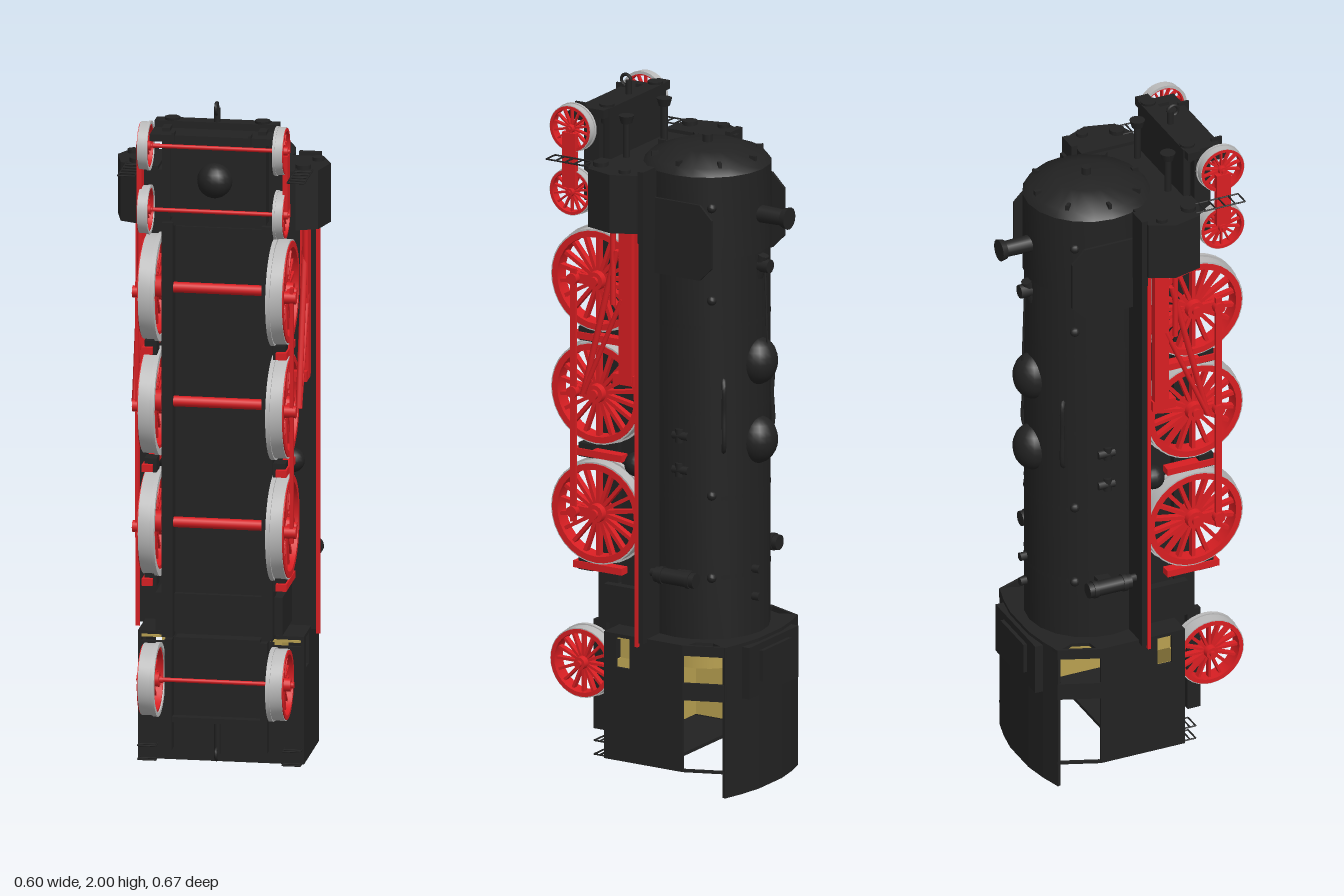
import * as THREE from 'three';
import { toCreasedNormals } from 'three/addons/utils/BufferGeometryUtils.js';

const mat = (name, color) => { const m = new THREE.MeshStandardMaterial({ color }); m.name = name; return m; };

export function createModel() {
  const black = mat('black paint', 0x222222);
  const red = mat('red paint', 0xd81e22);
  const steel = mat('pale steel', 0xbababa);
  const cream = mat('cab interior', 0xb8a050);
  black.side = THREE.DoubleSide;
  cream.side = THREE.DoubleSide;

  const root = new THREE.Group();
  root.name = 'uprightLocomotive';
  const side = new THREE.Group(); // everything on the +x side, mirrored at the end
  side.name = 'sideParts';

  const add = (parent, name, geo, m, x = 0, y = 0, z = 0) => {
    const mesh = new THREE.Mesh(geo, m);
    mesh.name = name;
    mesh.position.set(x, y, z);
    parent.add(mesh);
    return mesh;
  };
  // box given by its limits
  const box = (p, name, m, x0, x1, y0, y1, z0, z1) =>
    add(p, name, new THREE.BoxGeometry(x1 - x0, y1 - y0, z1 - z0), m, (x0 + x1) / 2, (y0 + y1) / 2, (z0 + z1) / 2);
  // round bar between two points
  const rod = (p, name, m, a, b, r, r2 = r, seg = 10) => {
    const A = new THREE.Vector3(...a), B = new THREE.Vector3(...b), d = B.clone().sub(A);
    const mesh = add(p, name, new THREE.CylinderGeometry(r2, r, d.length(), seg), m);
    mesh.position.copy(A).add(B).multiplyScalar(0.5);
    mesh.quaternion.setFromUnitVectors(new THREE.Vector3(0, 1, 0), d.normalize());
    return mesh;
  };
  const shape = (pts) => new THREE.Shape(pts.map(([a, b]) => new THREE.Vector2(a, b)));
  const extrude = (s, depth) => new THREE.ExtrudeGeometry(s, { depth, bevelEnabled: false });
  // outline in (x, z), filling y0..y1
  const slabY = (p, name, m, s, y0, y1) => add(p, name, extrude(s, y1 - y0).rotateX(Math.PI / 2), m, 0, y1, 0);
  // outline in (z, y), with its outer face at x
  const slabX = (p, name, m, s, x, t) => add(p, name, extrude(s, t).rotateY(-Math.PI / 2), m, x, 0, 0);
  const lathe = (pts, seg) =>
    toCreasedNormals(new THREE.LatheGeometry(pts.map(([r, y]) => new THREE.Vector2(r, y)), seg), 0.6);
  const ring = (r0, r1, y0, y1, seg) => lathe([[r0, y0], [r1, y0], [r1, y1], [r0, y1], [r0, y0]], seg);

  // ---- boiler, smokebox door and fittings ----
  const bz = -0.065;
  add(root, 'boiler', lathe([[0, 0.42], [0.176, 0.42], [0.176, 1.55], [0.18, 1.55], [0.18, 1.79],
    [0.163, 1.81], [0.09, 1.838], [0, 1.845]], 20), black, 0, 0, bz);
  for (const y of [0.62, 0.85, 1.1, 1.35])
    add(root, 'boilerBand', new THREE.CylinderGeometry(0.178, 0.178, 0.012, 20, 1, true), black, 0, y, bz);
  for (let i = 0; i < 8; i++) {
    const a = i * Math.PI / 4;
    const clamp = add(root, 'doorClamp', new THREE.BoxGeometry(0.01, 0.02, 0.02), black,
      Math.sin(a) * 0.15, 1.815, bz + Math.cos(a) * 0.15);
    clamp.rotation.y = a;
  }
  rod(root, 'doorKnob', black, [0, 1.83, bz], [0, 1.865, bz], 0.014);
  rod(root, 'chimney', black, [0, 1.66, -0.2], [0, 1.66, -0.322], 0.026, 0.023, 16);
  rod(root, 'chimneyRim', black, [0, 1.66, -0.318], [0, 1.66, -0.335], 0.028, 0.032, 16);
  for (const y of [1.0, 1.23])
    add(root, 'dome', new THREE.SphereGeometry(1, 18, 12).scale(0.06, 0.068, 0.055), black, 0, y, -0.232);
  rod(root, 'topValve', black, [0, 1.51, -0.22], [0, 1.51, -0.272], 0.02);
  rod(root, 'topValveFoot', black, [0, 1.475, -0.23], [0, 1.54, -0.25], 0.016);
  rod(root, 'valveRod', black, [0, 1.28, -0.262], [0, 1.5, -0.255], 0.003, 0.003, 6);
  for (const y of [0.55, 0.63]) rod(root, 'smallValve', black, [0.03, y, -0.22], [0.03, y, -0.257], 0.012);

  const rail = new THREE.CatmullRomCurve3([[0.11, 0.98, -0.185], [0.126, 1.0, -0.198], [0.126, 1.1, -0.198],
    [0.126, 1.18, -0.198], [0.11, 1.2, -0.185]].map((v) => new THREE.Vector3(...v)));
  add(side, 'boilerPipe', new THREE.TubeGeometry(rail, 24, 0.007, 6), black);
  for (const y of [0.62, 0.86, 1.43, 1.7])
    add(side, 'washoutPlug', new THREE.SphereGeometry(0.014, 10, 8), black, 0.143, y, -0.168);
  for (const y of [0.93, 1.03]) {
    rod(side, 'checkValve', black, [0.172, y, -0.06], [0.172, y, -0.11], 0.012);
    rod(side, 'checkValvePipe', black, [0.172, y - 0.02, -0.08], [0.172, y + 0.02, -0.08], 0.012);
  }
  rod(side, 'pump', black, [0.221, 0.63, -0.034], [0.221, 0.63, -0.165], 0.022, 0.022, 14);
  for (const z of [-0.06, -0.15])
    rod(side, 'pumpFlange', black, [0.221, 0.63, z], [0.221, 0.63, z + 0.012], 0.025, 0.025, 14);
  rod(side, 'pumpFoot', black, [0.21, 0.63, 0], [0.21, 0.63, -0.04], 0.012);
  box(side, 'pumpBracket', black, 0.16, 0.21, 0.62, 0.64, -0.12, -0.08);

  // ---- frame, running boards, cylinders ----
  box(root, 'mainFrame', black, -0.155, 0.155, 0.43, 1.64, 0, 0.122);
  box(root, 'framePanel', black, -0.125, 0.125, 0.44, 1.62, 0.12, 0.15);
  box(side, 'frameRail', black, 0.126, 0.157, 0.44, 1.64, 0.132, 0.196);
  box(root, 'fireboxBase', black, -0.18, 0.18, 0.45, 0.56, 0, 0.165);
  box(side, 'runningBoard', black, 0.13, 0.255, 0.43, 1.64, -0.012, 0.004);
  box(side, 'boardEdge', red, 0.25, 0.262, 0.42, 1.64, 0.003, 0.012);
  add(side, 'airTank', new THREE.SphereGeometry(0.035, 14, 10), black, 0.19, 0.93, 0.05);
  box(root, 'saddle', black, -0.2, 0.2, 1.63, 1.79, 0, 0.18);
  slabY(side, 'steamCylinder', black,
    shape([[0.17, 0], [0.27, 0], [0.302, 0.07], [0.28, 0.155], [0.22, 0.18], [0.17, 0.18]]), 1.63, 1.8);
  rod(side, 'valveCover', black, [0.262, 1.79, 0.045], [0.262, 1.81, 0.045], 0.017);
  rod(side, 'pistonCover', black, [0.235, 1.79, 0.14], [0.235, 1.812, 0.14], 0.022);
  box(side, 'frontStepBoard', black, 0.2, 0.262, 1.6, 1.81, -0.016, 0.002);

  // smoke deflector beside the smokebox
  slabX(side, 'smokeDeflector', black, shape([[0, 1.5], [-0.16, 1.5], [-0.2, 1.54],
    [-0.2, 1.68], [-0.16, 1.72], [0, 1.72]]), 0.195, 0.008);
  for (const y of [1.55, 1.66])
    rod(side, 'deflectorBracket', black, [0.13, y, -0.14], [0.19, y, -0.14], 0.006, 0.006, 6);

  // ---- front deck, buffer beam and bogie ----
  box(root, 'frontDeck', black, -0.15, 0.15, 1.7, 1.94, 0.165, 0.18);
  box(root, 'bufferBeam', black, -0.175, 0.175, 1.915, 1.94, 0.168, 0.208);
  for (const x of [0.1, 0.128]) {
    const z = x === 0.1 ? 0.14 : 0.187;
    rod(side, 'buffer', black, [x, 1.78, z], [x, 1.9, z], 0.01);
    rod(side, 'bufferHead', black, [x, 1.89, z], [x, 1.912 + (z > 0.15 ? 0.035 : 0), z], 0.016, 0.022, 14);
  }
  for (const [y, s] of [[1.94, 1], [0.15, -1]]) {
    rod(root, 'couplingBar', black, [0, y - s * 0.05, 0.195], [0, y + s * 0.04, 0.195], 0.009);
    const hook = add(root, 'couplingHook', new THREE.TorusGeometry(0.016, 0.005, 6, 12, 4.4), black, 0, y + s * 0.04, 0.203);
    hook.rotation.y = Math.PI / 2;
  }
  box(root, 'bogieFrame', black, -0.14, 0.14, 1.67, 1.9, 0.2, 0.235);
  box(root, 'bogieCrossBeam', black, -0.176, 0.176, 1.9, 1.92, 0.205, 0.288);
  box(side, 'bogieRail', black, 0.125, 0.148, 1.66, 1.93, 0.2, 0.25);
  box(side, 'railGuard', black, 0.105, 0.112, 1.9, 1.93, 0.27, 0.302);
  add(root, 'bogiePivot', new THREE.SphereGeometry(0.05, 16, 12), black, 0, 1.78, 0.235);
  box(side, 'bogieSideBar', red, 0.2, 0.214, 1.71, 1.87, 0.238, 0.282);

  // ---- wheels ----
  const addWheel = (name, x, y, z, R, thickness, spokes, axle) => {
    const w = new THREE.Group();
    w.name = name;
    add(w, 'tyre', ring(R * 0.88, R * 0.965, -0.022, 0.022, 32), steel);
    add(w, 'flange', ring(R * 0.88, R, -0.024, -0.012, 32), steel);
    add(w, 'rim', ring(R * 0.82, R * 0.935, -0.02, 0.025, 32), red);
    add(w, 'hub', new THREE.CylinderGeometry(R * 0.17, R * 0.2, 0.056, 16), red, 0, 0.004, 0);
    add(w, 'hubCap', new THREE.CylinderGeometry(R * 0.09, R * 0.09, 0.074, 12), red, 0, 0.004, 0);
    for (let i = 0; i < spokes; i++)
      add(w, 'spoke', new THREE.BoxGeometry(R * 0.7, 0.018, R * 0.07).translate(R * 0.5, 0.004, 0), red)
        .rotation.y = i * 2 * Math.PI / spokes;
    w.rotation.z = -Math.PI / 2;
    w.scale.y = thickness;
    w.position.set(x, y, z);
    side.add(w);
    rod(root, name + 'Axle', red, [-0.17, y, z], [0.17, y, z], axle);
  };
  const drivers = [0.77, 1.12, 1.45], dz = 0.175, pin = 0.24;
  for (const y of drivers) addWheel('drivingWheel', 0.182, y, dz, 0.154, 1, 18, 0.015);
  for (const y of [1.695, 1.88]) addWheel('bogieWheel', 0.192, y, 0.26, 0.07, 0.62, 14, 0.006);
  addWheel('trailingWheel', 0.182, 0.325, 0.225, 0.105, 1, 16, 0.006);

  // ---- rods, slide bars and brakes ----
  box(side, 'couplingRod', red, 0.214, 0.224, 0.74, 1.48, pin - 0.009, pin + 0.009);
  for (const y of drivers) {
    rod(side, 'crankPin', red, [0.19, y, pin], [0.232, y, pin], 0.017);
    box(side, 'crank', red, 0.2, 0.212, y - 0.014, y + 0.014, dz, pin);
  }
  box(side, 'slideBar', red, 0.215, 0.24, 1.18, 1.64, 0.035, 0.078);
  rod(side, 'mainRod', red, [0.232, 1.56, 0.09], [0.232, 1.12, 0.2], 0.009);
  rod(side, 'eccentricRod', red, [0.235, 1.12, 0.2], [0.235, 1.42, 0.07], 0.007);
  rod(side, 'pistonRod', red, [0.235, 1.4, 0.1], [0.235, 1.64, 0.1], 0.008);
  box(side, 'linkBracket', red, 0.2, 0.238, 1.17, 1.2, 0.03, 0.1);
  for (const y of [0.615, 0.945, 1.285]) {
    box(side, 'brakeShoe', black, 0.165, 0.2, y - 0.018, y + 0.022, 0.19, 0.235);
    box(side, 'brakeHanger', red, 0.175, 0.205, y - 0.014, y + 0.006, 0.09, 0.25);
  }

  // ---- trailing truck ----
  box(root, 'truckFrame', black, -0.12, 0.12, 0.2, 0.44, 0.13, 0.19);
  box(side, 'truckRail', black, 0.125, 0.145, 0.12, 0.44, 0.18, 0.22);
  box(root, 'truckCrossBar', black, -0.145, 0.145, 0.2, 0.215, 0.19, 0.215);

  // ---- cab ----
  const front = shape([[-0.235, 0.13], [0.235, 0.13], [0.235, -0.13], [0.19, -0.245], [0.13, -0.257],
    [0.06, -0.27], [-0.06, -0.27], [-0.13, -0.257], [-0.19, -0.245], [-0.235, -0.13]]);
  for (const s of [-1, 1])
    front.holes.push(shape([[0.19, -0.232], [0.172, -0.19], [0.19, -0.145], [0.222, -0.14]].map(([x, z]) => [x * s, z])));
  slabY(root, 'cabFrontWall', black, front, 0.43, 0.44);
  const wall = shape([[-0.13, 0.07], [0.13, 0.07], [0.13, 0.44], [-0.13, 0.44]]);
  wall.holes.push(shape([[0.045, 0.342], [0.09, 0.342], [0.09, 0.436], [0.045, 0.436]]));
  slabX(side, 'cabSide', black, wall, 0.235, 0.008);
  box(root, 'cabFloor', black, -0.23, 0.23, 0.07, 0.41, 0.118, 0.13);
  box(root, 'cabFloorFront', black, -0.15, 0.15, 0.4, 0.44, 0.118, 0.13);
  box(root, 'cabRearWall', black, -0.23, 0.23, 0.07, 0.08, -0.05, 0.13);
  // sloping pillars that carry the roof
  const pillar = (y0, y1) => slabY(side, 'cabPillar', black,
    shape([[0.235, -0.13], [0.19, -0.245], [0.182, -0.243], [0.226, -0.13]]), y0, y1);
  pillar(0.28, 0.33);
  pillar(0.41, 0.44);
  pillar(0.07, 0.078);
  // curved roof
  slabY(root, 'cabRoof', black, shape([[-0.192, -0.243], [-0.13, -0.26], [-0.06, -0.272], [0.06, -0.272], [0.13, -0.26],
    [0.192, -0.243], [0.19, -0.234], [0.13, -0.25], [0.06, -0.262], [-0.06, -0.262], [-0.13, -0.25], [-0.19, -0.234]]), 0, 0.44);
  box(root, 'roofVent', black, -0.075, 0.075, 0.32, 0.41, -0.295, -0.275);
  box(root, 'roofHatch', black, -0.13, 0.13, 0.28, 0.43, -0.284, -0.25);
  // cream backhead and inner lining
  add(root, 'boilerBackhead', new THREE.CylinderGeometry(0.128, 0.128, 0.09, 20), cream, 0, 0.385, bz);
  box(root, 'backheadBase', cream, -0.17, 0.17, 0.35, 0.428, 0, 0.115);
  rod(root, 'fireDoor', cream, [0, 0.345, -0.03], [0, 0.325, -0.03], 0.06, 0.055, 18);
  box(root, 'floorLining', cream, -0.222, 0.222, 0.085, 0.35, 0.112, 0.117);
  box(side, 'sideLining', cream, 0.222, 0.226, 0.085, 0.34, -0.125, 0.115);
  box(side, 'frontLining', cream, 0.12, 0.225, 0.422, 0.429, -0.13, 0.13);

  // ---- ladders ----
  const ladder = (name, x0, x1, y, z0, z1, rungs) => {
    for (const x of [x0, x1]) rod(side, name + 'Rail', black, [x, y, z0], [x, y, z1], 0.0025, 0.0025, 6);
    for (let i = 0; i < rungs; i++) {
      const z = z1 + (z0 - z1) * i / rungs;
      rod(side, name + 'Rung', black, [x0, y, z], [x1, y, z], 0.0025, 0.0025, 6);
    }
  };
  ladder('frontLadder', 0.217, 0.264, 1.8, 0.15, 0.302, 5);
  ladder('cabLadder', 0.18, 0.23, 0.075, 0.13, 0.165, 2);
  ladder('cabLadder', 0.18, 0.23, 0.115, 0.13, 0.165, 2);

  const mirrored = side.clone();
  mirrored.name = 'sidePartsMirrored';
  mirrored.scale.x = -1;
  root.add(side, mirrored);
  return root;
}
